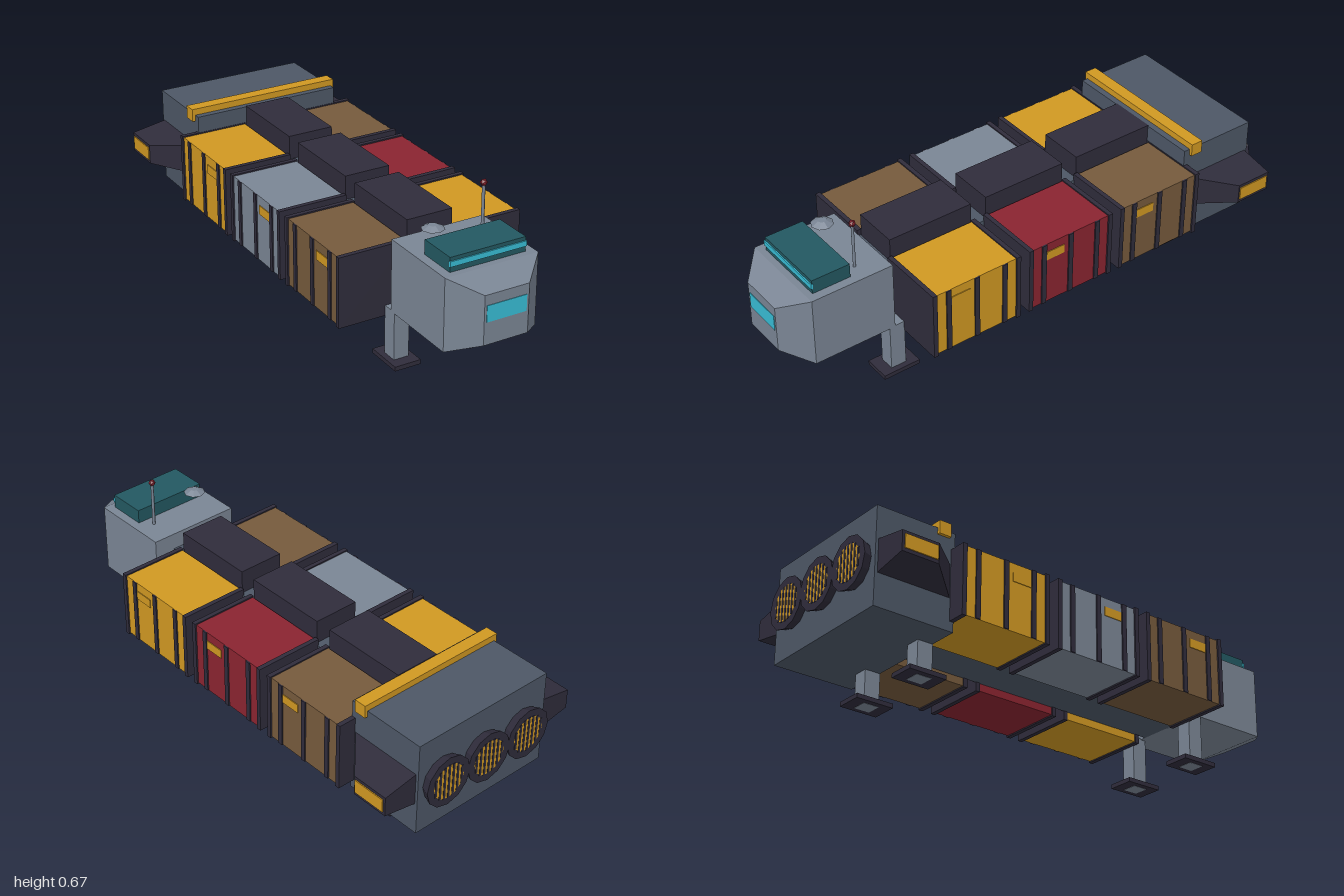
import * as THREE from 'three';
import { ConvexGeometry } from 'three/addons/geometries/ConvexGeometry.js';

const paint = (name, color) => {
  const m = new THREE.MeshStandardMaterial({ color });
  m.name = name;
  return m;
};

export function createModel() {
  const hullGray = paint('hull gray', 0x7a8594);
  const slate = paint('slate', 0x4d5766);
  const dark = paint('dark trim', 0x2f2c3b);
  const yellow = paint('yellow', 0xd09822);
  const red = paint('red', 0x8a2430);
  const brown = paint('brown', 0x765a3c);
  const teal = paint('dark teal', 0x235861);
  const cyan = paint('cyan glass', 0x38bcd4);

  const model = new THREE.Group();
  model.name = 'cargoHauler';

  const add = (name, geometry, material, parent = model) => {
    const mesh = new THREE.Mesh(geometry, material);
    mesh.name = name;
    parent.add(mesh);
    return mesh;
  };
  // Box given by its minimum and maximum on each axis
  const box = (name, material, [x0, x1], [y0, y1], [z0, z1], parent) => {
    const g = new THREE.BoxGeometry(Math.abs(x1 - x0), y1 - y0, z1 - z0);
    g.translate((x0 + x1) / 2, (y0 + y1) / 2, (z0 + z1) / 2);
    return add(name, g, material, parent);
  };
  const group = (name) => {
    const g = new THREE.Group();
    g.name = name;
    model.add(g);
    return g;
  };

  // Cockpit with a tapered nose
  const cockpit = group('cockpit');
  const corners = [];
  for (const [w, y0, y1, z] of [[0.185, 0.2, 0.475, 0.583], [0.185, 0.2, 0.475, 0.91], [0.088, 0.24, 0.426, 1]])
    for (const s of [-1, 1]) for (const y of [y0, y1]) corners.push(new THREE.Vector3(s * w, y, z));
  add('cockpitHull', new ConvexGeometry(corners), hullGray, cockpit);
  box('noseWindow', cyan, [-0.079, 0.079], [0.325, 0.387], [0.995, 1.002], cockpit);
  box('canopy', teal, [-0.15, 0.15], [0.47, 0.53], [0.733, 0.885], cockpit);
  box('canopyWindow', cyan, [-0.152, 0.152], [0.496, 0.516], [0.882, 0.89], cockpit);

  // Dish and antenna on the cockpit roof
  add('dish', new THREE.CylinderGeometry(0.016, 0.042, 0.014, 8).toNonIndexed(), hullGray, cockpit)
    .position.set(-0.09, 0.545, 0.69);
  cockpit.getObjectByName('dish').geometry.computeVertexNormals();
  add('antennaMast', new THREE.CylinderGeometry(0.006, 0.006, 0.18, 6), hullGray, cockpit)
    .position.set(0.11, 0.56, 0.69);
  add('antennaTip', new THREE.IcosahedronGeometry(0.0135, 0), red, cockpit)
    .position.set(0.11, 0.659, 0.69);

  // Central spine
  box('spine', slate, [-0.1, 0.1], [0.2, 0.41], [-0.66, 0.6]);

  // Three cargo bays, each with a roof box and a container on both sides
  const bays = [[0.358, yellow, brown], [-0.056, red, hullGray], [-0.47, brown, yellow]];
  bays.forEach(([z, leftColor, rightColor], i) => {
    const bay = group('cargoBay' + (i + 1));
    box('spineRoof', dark, [-0.092, 0.092], [0.4, 0.503], [z - 0.174, z + 0.174], bay);
    for (const [s, material] of [[1, leftColor], [-1, rightColor]]) {
      box('container', material, [s * 0.1, s * 0.364], [0.17, 0.43], [z - 0.18, z + 0.18], bay);
      for (const e of [-1, 1]) {
        const c = z + e * 0.179;
        box('endFrame', dark, [s * 0.096, s * 0.37], [0.165, 0.435], [c - 0.009, c + 0.009], bay);
      }
      for (const d of [-0.12, 0, 0.12])
        box('rib', dark, [s * 0.362, s * 0.369], [0.17, 0.43], [z + d - 0.01, z + d + 0.01], bay);
      box('label', yellow, [s * 0.362, s * 0.367], [0.36, 0.395], [z + 0.03, z + 0.108], bay);
    }
  });

  // Engine block with a roof bar
  const engine = group('engine');
  box('engineBlock', slate, [-0.3, 0.3], [0.127, 0.5], [-0.964, -0.642], engine);
  box('roofBar', yellow, [-0.312, 0.312], [0.475, 0.525], [-0.716, -0.667], engine);

  // Tapered side pods with light plates
  for (const s of [-1, 1]) {
    const pts = [];
    for (const [x, y0, y1, zf] of [[0.295, 0.25, 0.377, -0.655], [0.437, 0.275, 0.352, -0.805]])
      for (const y of [y0, y1]) for (const z of [-0.953, zf]) pts.push(new THREE.Vector3(s * x, y, z));
    add('sidePod', new ConvexGeometry(pts), dark, engine);
    box('podLight', yellow, [s * 0.434, s * 0.441], [0.288, 0.34], [-0.943, -0.81], engine);
  }

  // Three nozzles with grilled glow discs
  for (const x of [-0.19, 0, 0.19]) {
    const nozzle = new THREE.Group();
    nozzle.name = 'nozzle';
    nozzle.position.set(x, 0.315, 0);
    engine.add(nozzle);
    const bell = new THREE.CylinderGeometry(0.082, 0.1, 0.05, 12).toNonIndexed();
    bell.computeVertexNormals();
    bell.rotateX(Math.PI / 2).translate(0, 0, -0.973);
    add('nozzleBell', bell, dark, nozzle);
    const glow = new THREE.CircleGeometry(0.07, 12).rotateY(Math.PI).translate(0, 0, -0.9988);
    add('nozzleGlow', glow, yellow, nozzle);
    for (let i = -3; i <= 3; i++) {
      const h = Math.sqrt(0.07 ** 2 - (i * 0.02) ** 2);
      box('grilleSlat', dark, [i * 0.02 - 0.005, i * 0.02 + 0.005], [-h, h], [-1, -0.998], nozzle);
    }
  }

  // Landing legs and feet
  for (const z of [0.575, -0.672]) for (const x of [-0.155, 0.155]) {
    const gear = group('landingGear');
    box('leg', hullGray, [x - 0.03, x + 0.03], [0, 0.205], [z - 0.031, z + 0.031], gear);
    box('foot', dark, [x - 0.052, x + 0.052], [0.001, 0.018], [z - 0.075, z + 0.075], gear);
  }

  return model;
}
